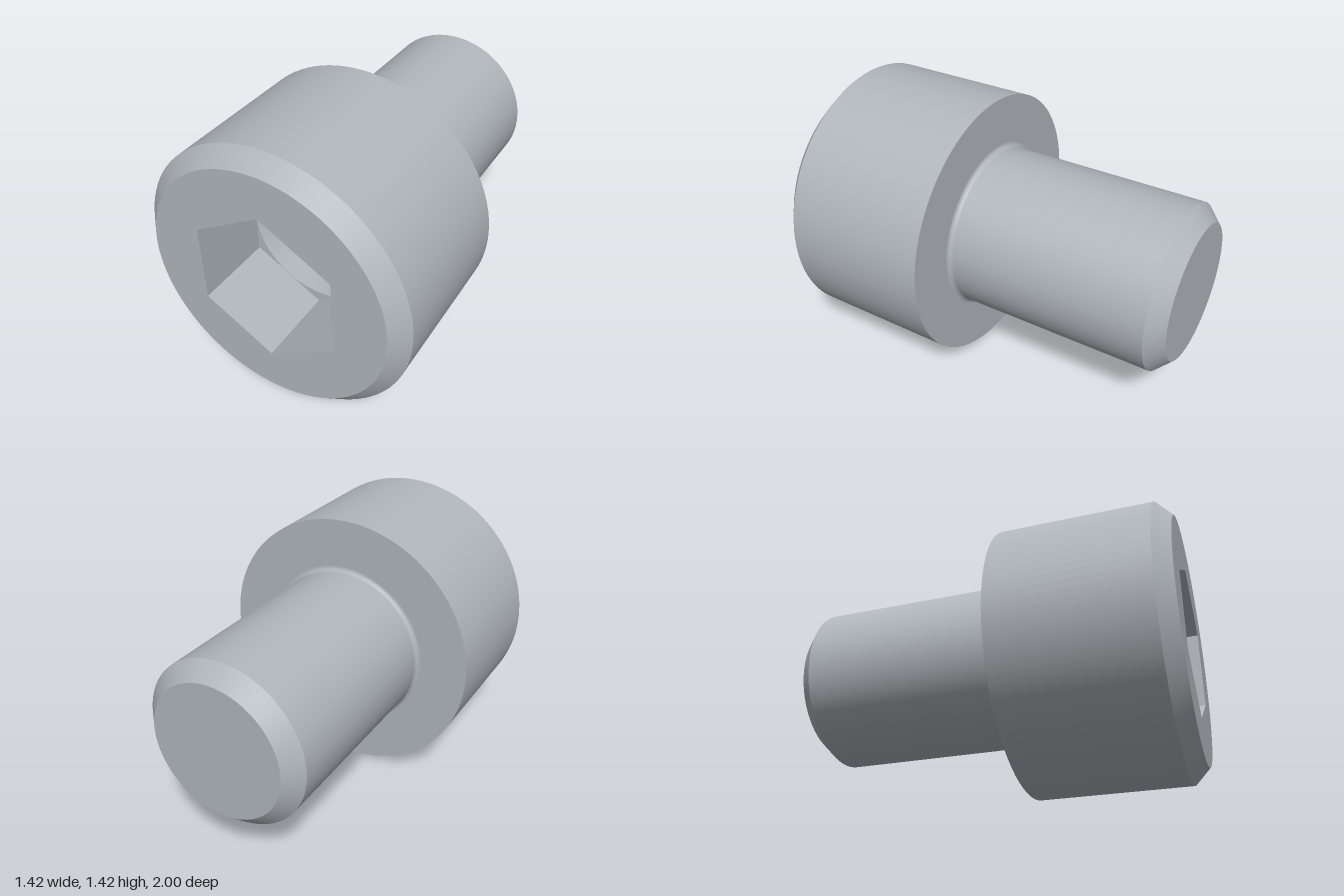
import * as THREE from 'three';

const HEAD_R = 0.708, FACE_R = 0.628, SHANK_R = 0.43, TIP_R = 0.35;
const HEX_R = 0.41, DRILL_R = 0.353, FLOOR_Z = 0.59, CONE_Z = 0.385;

export function createModel() {
  const model = new THREE.Group();
  model.name = 'socketHeadScrew';
  const steel = new THREE.MeshStandardMaterial({ color: 0xb0b6bb });
  steel.name = 'steel grey';

  const add = (name, geometry, parent) => {
    const mesh = new THREE.Mesh(geometry, steel);
    mesh.name = name;
    parent.add(mesh);
    return mesh;
  };
  const group = (name) => {
    const g = new THREE.Group();
    g.name = name;
    model.add(g);
    return g;
  };
  // Surface turned about the z axis from [radius, z] points
  const turned = (...points) =>
    new THREE.LatheGeometry(points.map(([r, z]) => new THREE.Vector2(r, z)), 96).rotateX(Math.PI / 2);
  const hexPoints = () => Array.from({ length: 6 }, (_, i) => {
    const a = Math.PI / 2 + i * Math.PI / 3;
    return new THREE.Vector2(HEX_R * Math.cos(a), HEX_R * Math.sin(a));
  });

  // Shank: flat tip, chamfer, plain cylinder and fillet under the head
  const shank = group('shank');
  add('shankTip', turned([0, -1], [TIP_R, -1]), shank);
  add('shankChamfer', turned([TIP_R, -1], [SHANK_R, -0.92]), shank);
  add('shankBody', turned([SHANK_R, -0.92], [SHANK_R, 0.115]), shank);
  const fillet = Array.from({ length: 9 }, (_, i) => {
    const a = i / 8 * Math.PI / 2;
    return [SHANK_R + 0.025 * (1 - Math.cos(a)), 0.115 + 0.025 * Math.sin(a)];
  });
  add('shankFillet', turned(...fillet), shank);

  // Head: underside, side, chamfer and face with a hexagonal opening
  const head = group('head');
  add('headUnderside', turned([SHANK_R + 0.025, 0.14], [HEAD_R, 0.14]), head);
  add('headSide', turned([HEAD_R, 0.14], [HEAD_R, 0.92]), head);
  add('headChamfer', turned([HEAD_R, 0.92], [FACE_R, 1]), head);
  const face = new THREE.Shape().absarc(0, 0, FACE_R, 0, Math.PI * 2, false);
  face.holes.push(new THREE.Path(hexPoints()));
  add('headFace', new THREE.ShapeGeometry(face, 48).translate(0, 0, 1), head);

  // Socket: six inward-facing walls, floor corners and drilled cone
  const socket = group('socket');
  const depth = 1 - FLOOR_Z;
  const walls = new THREE.CylinderGeometry(HEX_R, HEX_R, depth, 6, 1, true)
    .scale(-1, 1, 1).rotateX(Math.PI / 2).translate(0, 0, FLOOR_Z + depth / 2).toNonIndexed();
  walls.computeVertexNormals();
  add('socketWalls', walls, socket);
  const floor = new THREE.Shape(hexPoints());
  floor.holes.push(new THREE.Path().absarc(0, 0, DRILL_R, 0, Math.PI * 2, true));
  add('socketFloor', new THREE.ShapeGeometry(floor, 48).translate(0, 0, FLOOR_Z), socket);
  add('socketCone', turned([DRILL_R, FLOOR_Z], [0, CONE_Z]), socket);

  // Rest the head on the ground
  model.children.forEach((part) => { part.position.y = HEAD_R; });
  return model;
}
